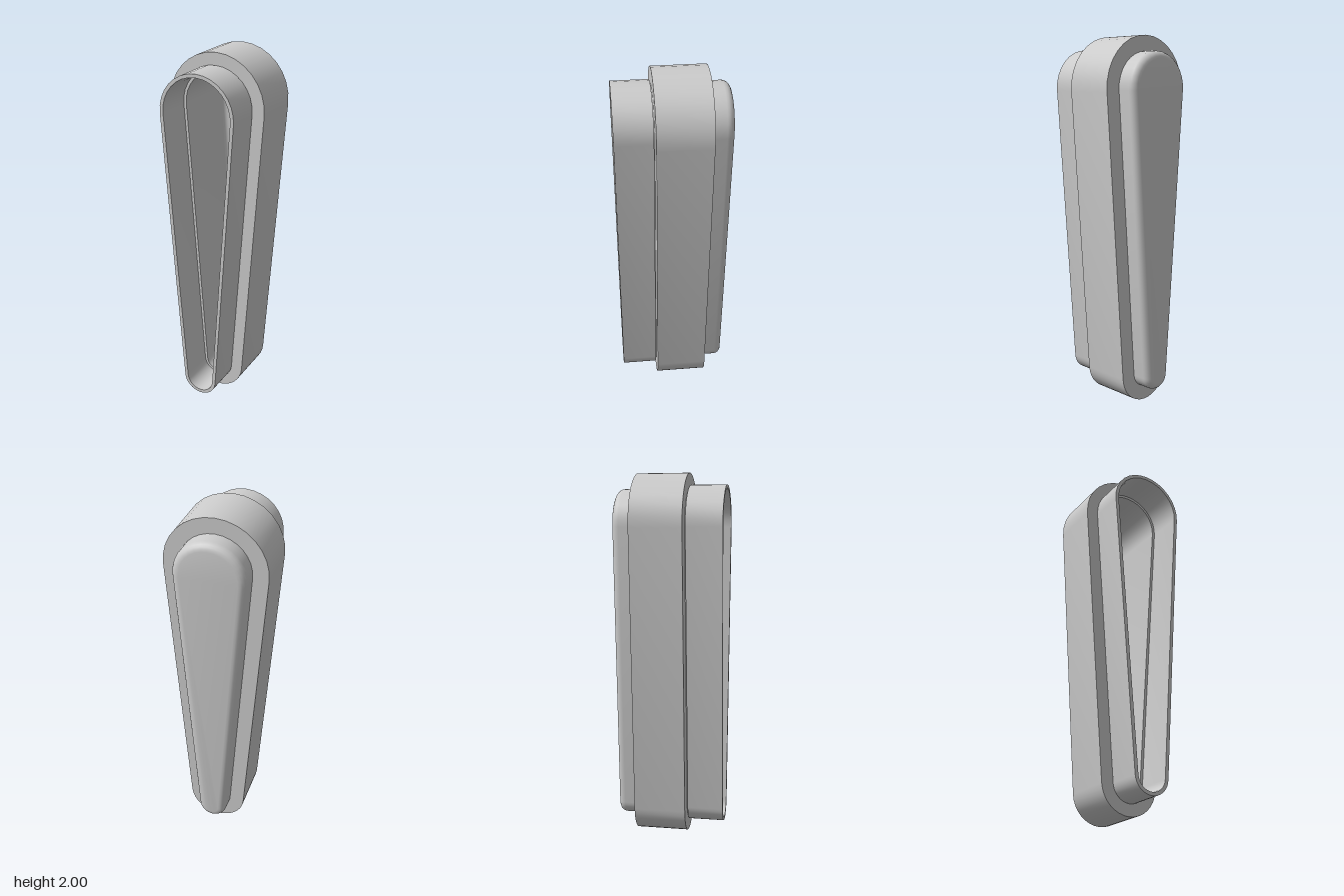
import * as THREE from 'three';
import { toCreasedNormals } from 'three/addons/utils/BufferGeometryUtils.js';

const TOP = { y: 1.727, r: 0.192 };
const BOTTOM = { y: 0.163, r: 0.08 };
const ARC_STEPS = 16;

// Teardrop outline (two circles joined by tangents), grown by an offset
function outline(offset) {
  const tilt = Math.asin((TOP.r - BOTTOM.r) / (TOP.y - BOTTOM.y));
  const points = [];
  const arc = (circle, from, to) => {
    for (let i = 0; i <= ARC_STEPS; i++) {
      const a = from + ((to - from) * i) / ARC_STEPS;
      const r = circle.r + offset;
      points.push([r * Math.cos(a), circle.y + r * Math.sin(a)]);
    }
  };
  arc(TOP, -tilt, Math.PI + tilt);
  arc(BOTTOM, Math.PI + tilt, 2 * Math.PI - tilt);
  return points;
}

// Sweeps a profile of [offset, z] pairs around the outline
function sweep(profile, capped) {
  const positions = [];
  const index = [];
  const n = 2 * (ARC_STEPS + 1);
  for (const [offset, z] of profile) {
    for (const [x, y] of outline(offset)) positions.push(x, y, z);
  }
  for (let i = 0; i < profile.length - 1; i++) {
    for (let j = 0; j < n; j++) {
      const k = (j + 1) % n;
      const a = i * n + j, b = i * n + k, c = b + n, d = a + n;
      index.push(a, d, b, b, d, c);
    }
  }
  if (capped) {
    const last = (profile.length - 1) * n;
    for (let j = 1; j < n - 1; j++) {
      index.push(0, j, j + 1);
      index.push(last, last + j + 1, last + j);
    }
  }
  const geometry = new THREE.BufferGeometry();
  geometry.setAttribute('position', new THREE.Float32BufferAttribute(positions, 3));
  geometry.setIndex(index);
  return toCreasedNormals(geometry, 0.7);
}

// Quarter-round edge from the flat back face to the side wall
function roundedEdge(offset, z, radius) {
  const points = [];
  for (let i = 0; i <= 5; i++) {
    const a = (i / 5) * Math.PI / 2;
    points.push([offset - radius + radius * Math.sin(a), z + radius - radius * Math.cos(a)]);
  }
  return points;
}

export function createModel() {
  const group = new THREE.Group();
  const material = new THREE.MeshStandardMaterial({ color: 0xcccccc });
  const add = (name, geometry) => {
    const mesh = new THREE.Mesh(geometry, material);
    mesh.name = name;
    group.add(mesh);
  };

  // Hollow insert: open front sleeve, inner ledge and rounded closed back
  add('hollowInsert', sweep([
    ...roundedEdge(-0.015, -0.285, 0.03),
    [-0.015, 0.1], [0, 0.1], [0, 0.3],
    [0.019, 0.3], [0.019, 0.103], [0, 0.103],
    ...roundedEdge(0, -0.3, 0.04).reverse(),
  ], true));

  // Thick band wrapped around the middle
  add('outerBand', sweep([
    [0, 0.097], [0.083, 0.097], [0.083, -0.188], [0, -0.188], [0, 0.097],
  ], false));

  return group;
}
